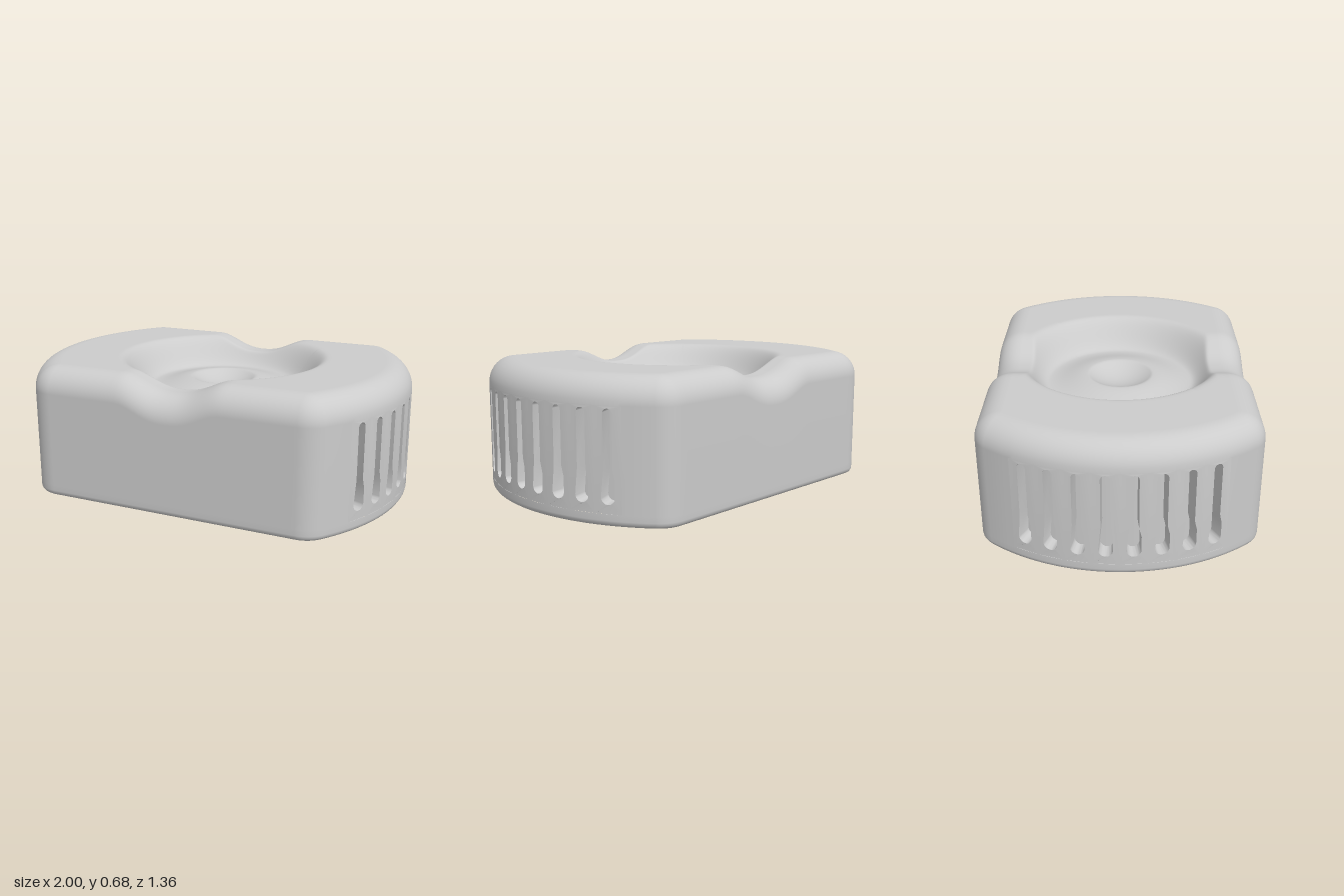
import * as THREE from 'three';
import { mergeGeometries, toCreasedNormals } from 'three/addons/utils/BufferGeometryUtils.js';

const TOP = 0.68, HALF_DEPTH = 0.68, FILLET = 0.15, ROUND = 0.13, FOOT = 0.03;
const VENT_ANGLE = Math.PI / 6, VENT_LOW = 0.06, VENT_HIGH = TOP - ROUND, VENTS = 8;
const ARC = 24;

const material = () => new THREE.MeshStandardMaterial({ color: 0xcccccc, side: THREE.DoubleSide });
const smooth = THREE.MathUtils.smoothstep;

// Plan outline inset by d: a circle cut by two flats, with rounded corners
function outline(d) {
  const zc = HALF_DEPTH - FILLET, xc = Math.sqrt((1 - FILLET) ** 2 - zc * zc);
  const tangent = Math.atan2(zc, xc), quarter = [];
  const polar = (cx, cz, r, a) => quarter.push([cx + r * Math.cos(a), cz + r * Math.sin(a)]);
  for (let i = 0; i < ARC; i++) polar(0, 0, 1 - d, VENT_ANGLE * i / ARC);
  for (let i = 0; i < 4; i++) polar(0, 0, 1 - d, VENT_ANGLE + (tangent - VENT_ANGLE) * i / 4);
  for (let i = 0; i < 10; i++) polar(xc, zc, FILLET - d, tangent + (Math.PI / 2 - tangent) * i / 10);
  for (let i = 0; i <= 24; i++) quarter.push([xc * (1 - i / 24), HALF_DEPTH - d]);
  const half = [...quarter, ...quarter.slice(0, -1).reverse().map(([x, z]) => [-x, z])];
  return [...half, ...half.slice(1, -1).reverse().map(([x, z]) => [x, -z])];
}

// Height of the top: a channel from front to back, and a bowl with a central dimple
function topHeight(x, z) {
  const r = Math.hypot(x, z);
  const channel = TOP - 0.077 * (1 - smooth((Math.abs(x) / 0.28) ** 1.3, 0, 1));
  let bowl = 0.565 - 0.05 * (1 - (r / 0.17) ** 2);
  if (r > 0.17) bowl = 0.565 - 0.04 * smooth(r, 0.17, 0.38);
  if (r > 0.38) bowl = 0.525 + 0.155 * smooth(r, 0.38, 0.56);
  const k = 0.012, h = Math.max(k - Math.abs(channel - bowl), 0) / k;
  return r > 0.58 ? channel : Math.min(channel, bowl) - h * h * k * 0.25 * (1 - smooth(r, 0.5, 0.58));
}

// Shell from stacked loops: foot edge, wall, rounded shoulder, then the top
function shellGeometry() {
  const loops = [];
  const add = (d, height) => loops.push(outline(d).map(([x, z]) => [x, height(x, z), z]));
  for (let i = 0; i <= 4; i++) {
    const a = Math.PI / 2 * i / 4;
    add(FOOT * (1 - Math.sin(a)), () => FOOT * (1 - Math.cos(a)));
  }
  const ventRow = loops.length;
  add(0, () => VENT_LOW);
  for (let i = 0; i <= 10; i++) {
    const a = Math.PI / 2 * i / 10;
    add(ROUND * (1 - Math.cos(a)), (x, z) => topHeight(x, z) - ROUND * (1 - Math.sin(a)));
  }
  const edge = outline(ROUND);
  for (let i = 1; i <= 80; i++) {
    const s = 1 - i / 80;
    loops.push(edge.map(([x, z]) => [x * s, topHeight(x * s, z * s), z * s]));
  }
  const n = edge.length, index = [];
  const inVent = (j) => {
    const k = j % (n / 2);
    return k < ARC || k >= n / 2 - ARC;
  };
  for (let i = 0; i < loops.length - 1; i++) {
    for (let j = 0; j < n; j++) {
      if (i === ventRow && inVent(j)) continue;
      const a = i * n + j, b = i * n + (j + 1) % n;
      index.push(a, a + n, b, b, a + n, b + n);
    }
  }
  const g = new THREE.BufferGeometry();
  g.setAttribute('position', new THREE.Float32BufferAttribute(loops.flat(2), 3));
  g.setIndex(index);
  g.computeVertexNormals();
  return g;
}

// Curved grille: strips with one tapered slot each, bent round the end wall
function grilleGeometry() {
  const step = 2 * VENT_ANGLE / VENTS, depth = 0.08, strips = [];
  for (let i = 0; i < VENTS; i++) {
    const left = -VENT_ANGLE + i * step, mid = left + step / 2;
    const strip = new THREE.Shape([[left, VENT_LOW], [left + step, VENT_LOW],
      [left + step, VENT_HIGH], [left, VENT_HIGH]].map(([u, v]) => new THREE.Vector2(u, v)));
    const slot = new THREE.Path();
    slot.moveTo(mid - 0.034, 0.21);
    slot.absarc(mid, 0.137, 0.034, Math.PI, 2 * Math.PI);
    slot.lineTo(mid + 0.034, 0.21);
    slot.lineTo(mid + 0.022, 0.26);
    slot.absarc(mid, 0.515, 0.022, 0, Math.PI);
    slot.lineTo(mid - 0.022, 0.26);
    strip.holes.push(slot);
    strips.push(new THREE.ExtrudeGeometry(strip, { depth, bevelEnabled: false, curveSegments: 8 }));
  }
  const g = mergeGeometries(strips);
  const p = g.attributes.position;
  for (let i = 0; i < p.count; i++) {
    const a = p.getX(i), r = 1 - depth + p.getZ(i);
    p.setXYZ(i, r * Math.cos(a), p.getY(i), -r * Math.sin(a));
  }
  return toCreasedNormals(g, 0.5);
}

export function createModel() {
  const model = new THREE.Group();
  const add = (name, geometry, parent = model) => {
    const mesh = new THREE.Mesh(geometry, material());
    mesh.name = name;
    parent.add(mesh);
    return mesh;
  };
  add('bodyShell', shellGeometry());

  // Vented ends
  const grille = grilleGeometry();
  const height = VENT_HIGH - VENT_LOW;
  const backing = new THREE.CylinderGeometry(0.921, 0.921, height, 32, 1, true,
    Math.PI / 2 - VENT_ANGLE, 2 * VENT_ANGLE);
  backing.translate(0, (VENT_LOW + VENT_HIGH) / 2, 0);
  for (const side of ['left', 'right']) {
    const end = new THREE.Group();
    end.name = side + 'Vent';
    end.rotation.y = side === 'left' ? 0 : Math.PI;
    add('grille', grille, end);
    add('slotBacking', backing, end);
    model.add(end);
  }

  // Underside with six recessed pockets: [x, z, width, depth]
  const pockets = [];
  for (const s of [-1, 1]) {
    pockets.push([0, s * 0.48, 0.52, 0.17]);
    for (const t of [-1, 1]) pockets.push([s * 0.71, t * 0.19, 0.36, 0.17]);
  }
  const base = new THREE.Shape(outline(FOOT).map(([x, z]) => new THREE.Vector2(x, z)));
  const deep = 0.1;
  for (const [x, z, w, d] of pockets) {
    base.holes.push(new THREE.Path([[-1, -1], [-1, 1], [1, 1], [1, -1]]
      .map(([i, j]) => new THREE.Vector2(x + i * w / 2, z + j * d / 2))));
    // Box seen from inside, without its lower face
    const box = new THREE.BoxGeometry(w, deep, d).translate(x, deep / 2, z);
    const faces = Array.from(box.index.array);
    faces.splice(18, 6);
    box.setIndex(faces);
    box.clearGroups();
    add('footPocket', box).material.side = THREE.BackSide;
  }
  add('underside', new THREE.ShapeGeometry(base).rotateX(Math.PI / 2));
  return model;
}
